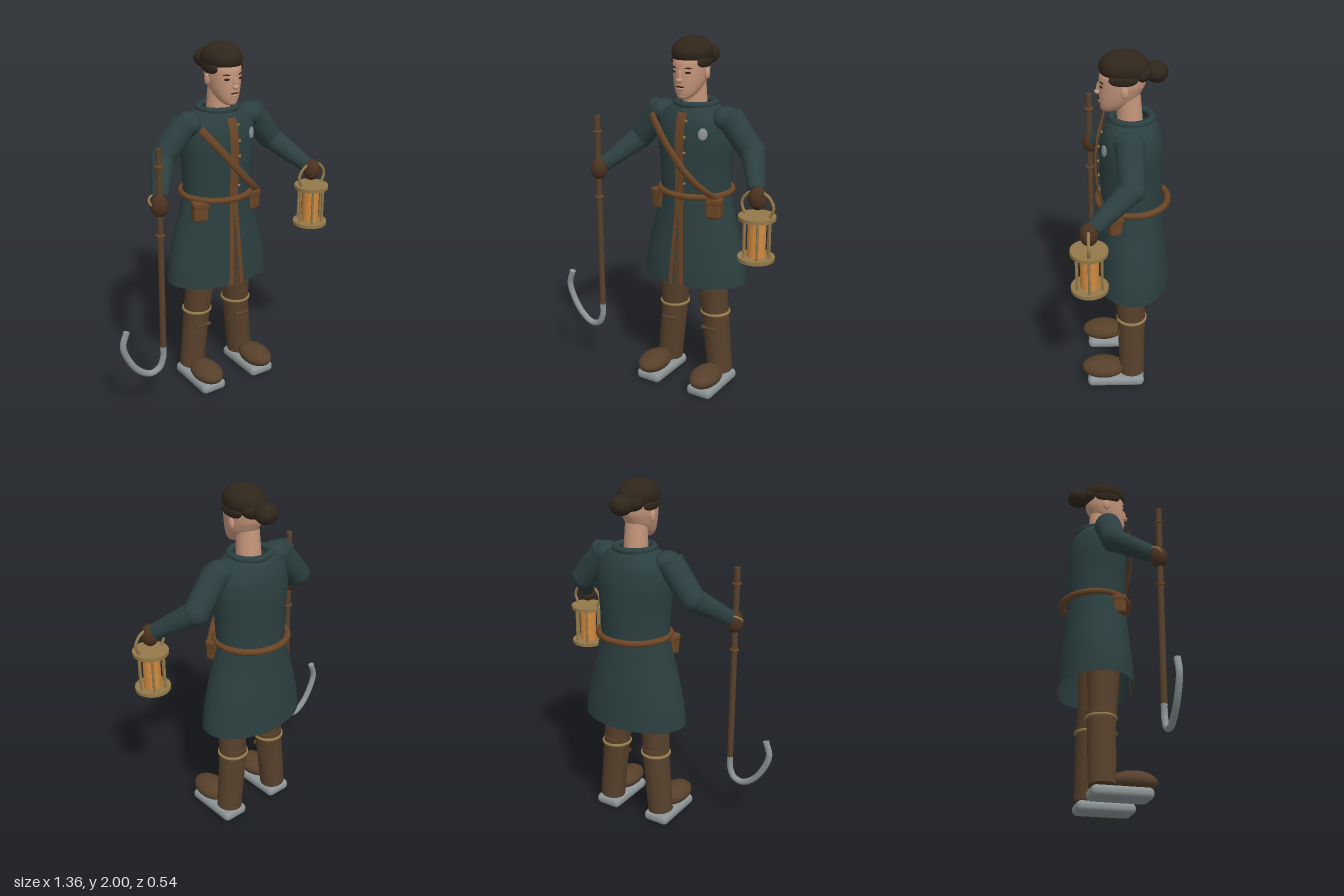
import * as THREE from 'three';
import { mergeVertices } from 'three/addons/utils/BufferGeometryUtils.js';
import { RoundedBoxGeometry } from 'three/addons/geometries/RoundedBoxGeometry.js';

const V = (x, y, z) => new THREE.Vector3(x, y, z);

function material(name, color, side = THREE.FrontSide) {
  const m = new THREE.MeshStandardMaterial({ color, side });
  m.name = name;
  return m;
}

// Grid of points joined into a smooth surface; rows run upward, columns to +x at the front
function surface(rows, cols, point) {
  const pos = [], idx = [];
  for (let i = 0; i <= rows; i++) {
    for (let j = 0; j <= cols; j++) pos.push(...point(i / rows, j / cols).toArray());
  }
  for (let i = 0; i < rows; i++) {
    for (let j = 0; j < cols; j++) {
      const a = i * (cols + 1) + j, c = a + cols + 1;
      idx.push(a, a + 1, c, a + 1, c + 1, c);
    }
  }
  let g = new THREE.BufferGeometry();
  g.setAttribute('position', new THREE.Float32BufferAttribute(pos, 3));
  g.setIndex(idx);
  g = mergeVertices(g, 1e-5);
  g.computeVertexNormals();
  return g;
}

// Linear look-up in a list of [y, rx, zCentre, rz] sections
function sectionAt(list, y) {
  let i = 0;
  while (i < list.length - 2 && y > list[i + 1][0]) i++;
  const t = THREE.MathUtils.clamp((y - list[i][0]) / (list[i + 1][0] - list[i][0]), 0, 1);
  return list[i].map((v, k) => THREE.MathUtils.lerp(v, list[i + 1][k], t));
}

const coatSections = [
  [0.645, 0.315, -0.057, 0.207], [0.75, 0.303, -0.057, 0.201], [0.88, 0.274, -0.057, 0.19],
  [1.02, 0.234, -0.056, 0.176], [1.16, 0.202, -0.055, 0.166], [1.3, 0.207, -0.053, 0.168],
  [1.46, 0.225, -0.053, 0.17], [1.55, 0.216, -0.053, 0.157], [1.6, 0.18, -0.052, 0.138],
  [1.645, 0.11, -0.05, 0.11],
];
const headSections = [
  [1.682, 0.028, 0.068, 0.03], [1.70, 0.05, 0.05, 0.058], [1.73, 0.066, 0.03, 0.083],
  [1.77, 0.08, 0.01, 0.105], [1.82, 0.09, -0.003, 0.118], [1.87, 0.094, -0.008, 0.121],
  [1.93, 0.085, -0.015, 0.1], [1.975, 0.05, -0.012, 0.06],
];
const onSurface = (list, x, y, out) => {
  const [, rx, zc, rz] = sectionAt(list, y);
  return V(x, y, zc + rz * Math.sqrt(Math.max(0, 1 - (x / rx) ** 2)) + out);
};
const slit = (y) => 0.002 + 0.022 * THREE.MathUtils.clamp((1.08 - y) / 0.435, 0, 1);

export function createModel() {
  const coat = material('coat green', 0x2c3f40, THREE.DoubleSide);
  const leather = material('strap leather', 0x6a4526, THREE.DoubleSide);
  const brown = material('boot brown', 0x57402b);
  const glove = material('glove brown', 0x4a3220);
  const hairMat = material('hair', 0x30261b);
  const skin = material('skin', 0xc4957b);
  const brass = material('brass', 0x94794a);
  const steel = material('steel', 0x8b9394);
  const amber = material('amber glass', 0xd18a3e);
  const dark = material('eye dark', 0x2a1c16);

  const root = new THREE.Group();
  const figure = new THREE.Group();
  figure.name = 'figure';
  figure.position.x = 0.078;
  root.add(figure);

  const add = (name, geo, mat, p = V(0, 0, 0)) => {
    const m = new THREE.Mesh(geo, mat);
    m.name = name;
    m.position.copy(p);
    figure.add(m);
    return m;
  };
  const ball = (name, p, rx, ry, rz, mat) => {
    const m = add(name, new THREE.SphereGeometry(1, 28, 18), mat, p);
    m.scale.set(rx, ry, rz);
    return m;
  };
  const limb = (name, a, b, ra, rb, mat) => {
    const m = add(name, new THREE.CylinderGeometry(rb, ra, a.distanceTo(b), 28), mat, a.clone().lerp(b, 0.5));
    m.quaternion.setFromUnitVectors(V(0, 1, 0), b.clone().sub(a).normalize());
    return m;
  };
  const tube = (name, pts, r, mat, closed = false) =>
    add(name, new THREE.TubeGeometry(new THREE.CatmullRomCurve3(pts, closed), 64, r, 10, closed), mat);
  const hoop = (name, p, rx, rz, r, mat) => {
    const pts = [];
    for (let i = 0; i < 24; i++) {
      const t = (i / 24) * Math.PI * 2;
      pts.push(V(p.x + rx * Math.sin(t), p.y, p.z + rz * Math.cos(t)));
    }
    return tube(name, pts, r, mat, true);
  };

  // Coat, split at the front below the belt
  add('coat', surface(40, 64, (u, v) => {
    const y = 0.645 + u * 1.0;
    const [, rx, zc, rz] = sectionAt(coatSections, y);
    const g = slit(y) / rx, t = g + v * (Math.PI * 2 - 2 * g);
    return V(rx * Math.sin(t), y, zc + rz * Math.cos(t));
  }), coat);
  hoop('collar', V(0, 1.642, -0.052), 0.105, 0.105, 0.019, coat);

  // Front trim: one band above, two diverging bands below
  add('frontTrim', surface(20, 4, (u, v) =>
    onSurface(coatSections, (v - 0.5) * 0.054, 1.06 + u * 0.55, 0.007)), leather);
  for (const s of [-1, 1]) {
    add('skirtTrim', surface(12, 3, (u, v) => {
      const y = 0.647 + u * 0.42;
      const x = s * slit(y) + (s > 0 ? v : v - 1) * 0.025;
      return onSurface(coatSections, x, y, 0.007);
    }), leather);
  }
  for (let i = 0; i < 5; i++) {
    const y = 1.57 - i * 0.085;
    ball('button', onSurface(coatSections, 0.032, y, 0.008), 0.008, 0.008, 0.006, brass);
  }

  // Chest flap and badge
  add('chestFlap', surface(6, 4, (u, v) => onSurface(coatSections,
    0.062 + u * 0.035 + v * u * 0.07, 1.41 + u * (0.14 - v * 0.03), 0.007)), coat);
  const badge = ball('badge', onSurface(coatSections, 0.128, 1.508, 0.012), 0.025, 0.032, 0.006, steel);
  badge.rotation.set(-0.1, 0.5, 0);

  // Diagonal shoulder strap
  const strapPath = new THREE.CatmullRomCurve3([V(0.2, 1.15, 0.05), V(0.13, 1.21, 0.1),
    V(0.03, 1.31, 0.13), V(-0.09, 1.45, 0.125), V(-0.2, 1.58, 0.085)]);
  add('shoulderStrap', surface(24, 6, (u, v) => {
    const a = (v - 0.5) * Math.PI;
    return strapPath.getPoint(u).add(V(0.016 * Math.sin(a), 0.014 * Math.sin(a), 0.012 * Math.cos(a)));
  }), leather);

  // Belt and pouches
  hoop('belt', V(0, 1.16, -0.062), 0.202, 0.19, 0.018, leather);
  for (const s of [-1, 1]) {
    const pouch = add('pouch', new RoundedBoxGeometry(0.088, 0.115, 0.075, 3, 0.018), leather, V(s * 0.172, 1.095, 0.036));
    pouch.rotation.y = s * 0.25;
    const lid = add('pouchLid', new RoundedBoxGeometry(0.092, 0.04, 0.08, 3, 0.012), leather, V(s * 0.172, 1.135, 0.036));
    lid.rotation.y = s * 0.25;
  }

  for (const s of [-1, 1]) {
    // Arms
    const shoulder = V(s * 0.21, 1.588, -0.04), elbow = V(s * 0.355, 1.41, -0.045), wrist = V(s * 0.482, 1.27, 0.145);
    ball('shoulderCap', V(s * 0.195, 1.575, -0.035), 0.075, 0.068, 0.08, coat);
    limb('upperSleeve', shoulder, elbow, 0.076, 0.068, coat);
    ball('elbow', elbow, 0.069, 0.069, 0.069, coat);
    limb('forearmSleeve', elbow, wrist, 0.066, 0.044, coat);
    ball('glove', V(s * 0.5, 1.245, 0.17), 0.048, 0.062, 0.048, glove);

    // Legs and boots
    const knee = V(s * 0.137, 0.45, -0.05);
    limb('trouserLeg', knee, V(s * 0.095, 1.0, -0.03), 0.076, 0.105, brown);
    limb('bootShaft', V(s * 0.172, 0.07, -0.058), V(s * 0.134, 0.475, -0.056), 0.073, 0.078, brown);
    hoop('bootBand', V(s * 0.137, 0.44, -0.056), 0.079, 0.079, 0.009, brass);
    limb('bootBuckle', V(s * 0.09, 0.35, 0.013), V(s * 0.178, 0.35, 0.013), 0.012, 0.012, brown);
    ball('bootToe', V(s * 0.175, 0.1, 0.108), 0.083, 0.056, 0.126, brown);
    add('sole', new RoundedBoxGeometry(0.158, 0.062, 0.33, 4, 0.028), steel, V(s * 0.172, 0.031, 0.036));
  }

  // Neck and head
  limb('neck', V(0, 1.6, -0.045), V(0, 1.8, -0.035), 0.068, 0.06, skin);
  add('head', surface(24, 40, (u, v) => {
    const y = 1.682 + u * 0.293, t = v * Math.PI * 2;
    const [, rx, zc, rz] = sectionAt(headSections, y);
    return V(rx * Math.sin(t), y, zc + rz * Math.cos(t));
  }), skin);
  ball('chin', V(0, 1.698, 0.078), 0.034, 0.02, 0.03, skin);
  ball('noseBridge', V(0, 1.803, 0.113), 0.011, 0.034, 0.014, skin);
  ball('noseTip', V(0, 1.783, 0.12), 0.017, 0.013, 0.018, skin);
  ball('mouth', onSurface(headSections, 0, 1.748, 0), 0.026, 0.004, 0.004, dark);
  ball('lowerLip', onSurface(headSections, 0, 1.738, 0), 0.022, 0.007, 0.006, skin);
  for (const s of [-1, 1]) {
    const eye = ball('eye', onSurface(headSections, s * 0.042, 1.823, 0), 0.015, 0.006, 0.004, dark);
    eye.rotation.y = s * 0.45;
    const brow = ball('brow', onSurface(headSections, s * 0.043, 1.846, 0), 0.02, 0.004, 0.004, hairMat);
    brow.rotation.y = s * 0.45;
    ball('ear', V(s * 0.09, 1.81, -0.015), 0.012, 0.032, 0.02, skin);
    ball('sideHair', V(s * 0.08, 1.872, -0.008), 0.021, 0.034, 0.074, hairMat);
  }

  // Hair with a bun at the back
  ball('hairCap', V(0, 1.917, -0.014), 0.104, 0.083, 0.13, hairMat);
  ball('backHair', V(0, 1.89, -0.09), 0.08, 0.055, 0.065, hairMat);
  ball('hairBun', V(0, 1.886, -0.176), 0.062, 0.054, 0.06, hairMat);

  // Hooked staff in the right hand
  const sx = -0.501, sz = 0.175;
  limb('staff', V(sx, 0.4, sz), V(sx, 1.55, sz), 0.017, 0.017, brown);
  for (const y of [1.46, 1.08]) hoop('staffRing', V(sx, y, sz), 0.019, 0.019, 0.007, leather);
  const grip = hoop('gripRing', V(0, 0, 0), 0.044, 0.036, 0.006, brass);
  grip.position.set(sx - 0.006, 1.268, sz - 0.02);
  grip.rotation.x = 0.7;
  const hook = [[0, 0.41], [-0.003, 0.34], [-0.03, 0.283], [-0.085, 0.267], [-0.16, 0.315],
    [-0.222, 0.41], [-0.245, 0.49], [-0.222, 0.57]].map(([x, y]) => V(sx + x, y, sz));
  tube('hook', hook, 0.018, steel);
  for (const [p, q] of [[hook[0], hook[1]], [hook[7], hook[6]]]) {
    const d = p.clone().sub(q).normalize().multiplyScalar(0.002);
    limb('hookEnd', p.clone().sub(d), p.clone().add(d), 0.018, 0.018, steel);
  }

  // Lantern in the left hand
  const lx = 0.502, lz = 0.172;
  for (const y of [0.925, 1.145]) limb('lanternPlate', V(lx, y - 0.01, lz), V(lx, y + 0.01, lz), 0.097, 0.097, brass);
  limb('lanternGlass', V(lx, 0.935, lz), V(lx, 1.135, lz), 0.048, 0.048, amber);
  for (let i = 0; i < 6; i++) {
    const t = (i / 6) * Math.PI * 2, x = lx + 0.074 * Math.cos(t), z = lz + 0.074 * Math.sin(t);
    limb('lanternPost', V(x, 0.93, z), V(x, 1.14, z), 0.007, 0.007, brass);
  }
  tube('lanternHandle', [[-0.07, 1.15], [-0.09, 1.21], [-0.06, 1.262], [0, 1.282], [0.06, 1.262],
    [0.09, 1.21], [0.07, 1.15]].map(([x, y]) => V(lx + x, y, lz)), 0.008, brass);

  return root;
}
